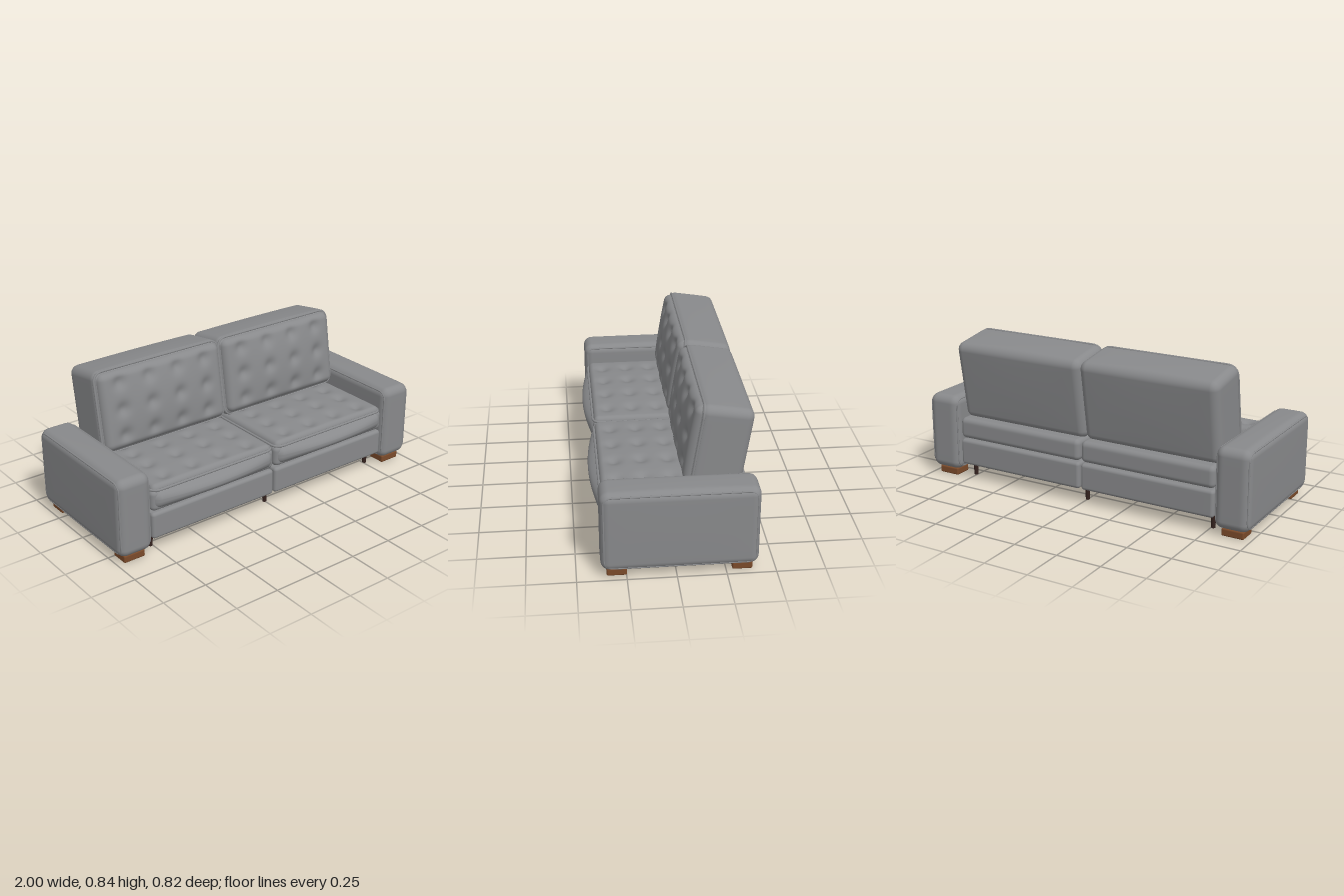
import * as THREE from 'three';
import { mergeVertices } from 'three/addons/utils/BufferGeometryUtils.js';

const leather = new THREE.MeshStandardMaterial({ color: 0x88898b });
leather.name = 'greyLeather';
const wood = new THREE.MeshStandardMaterial({ color: 0x7a4a2a });
wood.name = 'brownWood';
const darkWood = new THREE.MeshStandardMaterial({ color: 0x35231f });
darkWood.name = 'darkWood';

// Rounded, slightly inflated box; puff = bulge of the faces, tufts = buttons pressed into +z
function softBox(size, r, puff = [0, 0, 0], segs = [20, 16, 16], tufts = null) {
  const raw = new THREE.BoxGeometry(2, 2, 2, ...segs);
  raw.deleteAttribute('uv');
  raw.deleteAttribute('normal');
  const geo = mergeVertices(raw, 1e-4);
  const pos = geo.attributes.position;
  const half = size.map((s) => s / 2);
  const v = new THREE.Vector3();
  for (let i = 0; i < pos.count; i++) {
    v.fromBufferAttribute(pos, i);
    const inner = [];
    const out = new THREE.Vector3();
    // the outer four rows of each side are packed into the rounded edge
    v.toArray().forEach((t, a) => {
      const flat = 1 - 8 / segs[a];
      const m = Math.abs(t), sign = Math.sign(t);
      const core = half[a] - r;
      if (m <= flat + 1e-6) {
        inner[a] = flat > 0 ? (t / flat) * core : 0;
        out.setComponent(a, 0);
      } else {
        inner[a] = sign * core;
        out.setComponent(a, sign * Math.tan(((m - flat) / (1 - flat)) * Math.PI / 4));
      }
    });
    out.setLength(r);
    const p = inner.map((c, a) => c + out.getComponent(a));
    const fall = p.map((c, a) => Math.max(0, 1 - (c / half[a]) ** 2));
    const q = p.map((c, a) => c + Math.sign(out.getComponent(a)) * (Math.abs(out.getComponent(a)) / r)
      * puff[a] * fall[(a + 1) % 3] * fall[(a + 2) % 3]);
    if (tufts && out.z > 0.5 * r) {
      for (const [x, y] of tufts) {
        const d2 = (p[0] - x) ** 2 + (p[1] - y) ** 2;
        q[2] -= 0.02 * Math.exp(-d2 / 0.0012);
      }
    }
    pos.setXYZ(i, ...q);
  }
  geo.computeVertexNormals();
  return geo;
}

// Closed piping cord following a rounded rectangle in the xy plane
function piping(w, h, r, thick) {
  const pts = [];
  [[1, 1], [-1, 1], [-1, -1], [1, -1]].forEach(([sx, sy], k) => {
    for (let j = 0; j <= 4; j++) {
      const a = (k + j / 4) * Math.PI / 2;
      pts.push(new THREE.Vector3(sx * (w / 2 - r) + r * Math.cos(a), sy * (h / 2 - r) + r * Math.sin(a), 0));
    }
  });
  const path = new THREE.CurvePath();
  pts.forEach((p, i) => path.add(new THREE.LineCurve3(p, pts[(i + 1) % pts.length])));
  // sample evenly along the outline
  const even = path.getSpacedPoints(120).slice(0, 120);
  const curve = new THREE.CatmullRomCurve3(even, true);
  return new THREE.TubeGeometry(curve, 160, thick, 8, true);
}

function add(parent, name, geo, mat, x = 0, y = 0, z = 0) {
  const mesh = new THREE.Mesh(geo, mat);
  mesh.name = name;
  mesh.position.set(x, y, z);
  parent.add(mesh);
  return mesh;
}

function tuftGrid(xs, ys) {
  return xs.flatMap((x) => ys.map((y) => [x, y]));
}

const columns = [-0.27, -0.09, 0.09, 0.27];
const geos = {
  base: softBox([0.79, 0.15, 0.76], 0.018),
  seat: softBox([0.79, 0.12, 0.76], 0.028),
  roll: softBox([0.79, 0.12, 0.14], 0.05, [0, 0, 0.04]),
  seatPad: softBox([0.77, 0.52, 0.06], 0.028, [0, 0, 0.012], [56, 44, 10],
    tuftGrid(columns, [-0.18, -0.04, 0.1, 0.22])),
  seatPiping: piping(0.78, 0.53, 0.045, 0.007),
  back: softBox([0.805, 0.455, 0.275], 0.045, [0, 0.008, 0.004]),
  backPad: softBox([0.775, 0.425, 0.08], 0.038, [0, 0, 0.026], [56, 40, 10],
    tuftGrid(columns, [-0.14, 0.005, 0.15])),
  backPiping: piping(0.795, 0.447, 0.05, 0.007),
  arm: softBox([0.195, 0.436, 0.792], 0.045, [0.002, 0.005, 0]),
  armPiping: piping(0.758, 0.402, 0.04, 0.005),
  foot: softBox([0.125, 0.042, 0.102], 0.008),
  leg: new THREE.CylinderGeometry(0.015, 0.011, 0.09, 12),
};

// One seat with its reclined backrest
function seatUnit(name, x) {
  const unit = new THREE.Group();
  unit.name = name;
  unit.position.x = x;
  add(unit, 'baseFrame', geos.base, leather, 0, 0.16, -0.015);
  add(unit, 'seatCushion', geos.seat, leather, 0, 0.302, -0.015);
  add(unit, 'frontRoll', geos.roll, leather, 0, 0.305, 0.302);
  add(unit, 'tuftedSeatPad', geos.seatPad, leather, 0, 0.358, 0.1).rotation.x = -Math.PI / 2;
  add(unit, 'seatPiping', geos.seatPiping, leather, 0, 0.362, 0.1).rotation.x = -Math.PI / 2;

  const rest = new THREE.Group();
  rest.name = 'backrest';
  rest.position.set(0, 0.385, -0.083);
  rest.rotation.x = -0.157;
  add(rest, 'backCushion', geos.back, leather, 0, 0.2275, -0.1175);
  add(rest, 'tuftedBackPad', geos.backPad, leather, 0, 0.23, 0);
  add(rest, 'backPiping', geos.backPiping, leather, 0, 0.2275, 0);
  unit.add(rest);
  return unit;
}

// Arm with a piped edge on both faces and two wooden feet
function armUnit(name, side) {
  const arm = new THREE.Group();
  arm.name = name;
  arm.position.x = side * 0.9;
  add(arm, 'armBody', geos.arm, leather, 0, 0.262, -0.017);
  for (const s of [-1, 1]) {
    add(arm, 'armPiping', geos.armPiping, leather, s * 0.087, 0.262, -0.017).rotation.y = Math.PI / 2;
  }
  for (const z of [0.298, -0.332]) add(arm, 'armFoot', geos.foot, wood, 0, 0.022, z);
  return arm;
}

export function createModel() {
  const sofa = new THREE.Group();
  sofa.name = 'sofa';
  sofa.add(seatUnit('leftSeat', 0.4), seatUnit('rightSeat', -0.4));
  sofa.add(armUnit('leftArm', 1), armUnit('rightArm', -1));
  // slim support legs under the frame
  for (const x of [-0.76, 0, 0.76]) {
    for (const z of [0.28, -0.31]) add(sofa, 'supportLeg', geos.leg, darkWood, x, 0.046, z);
  }
  return sofa;
}
